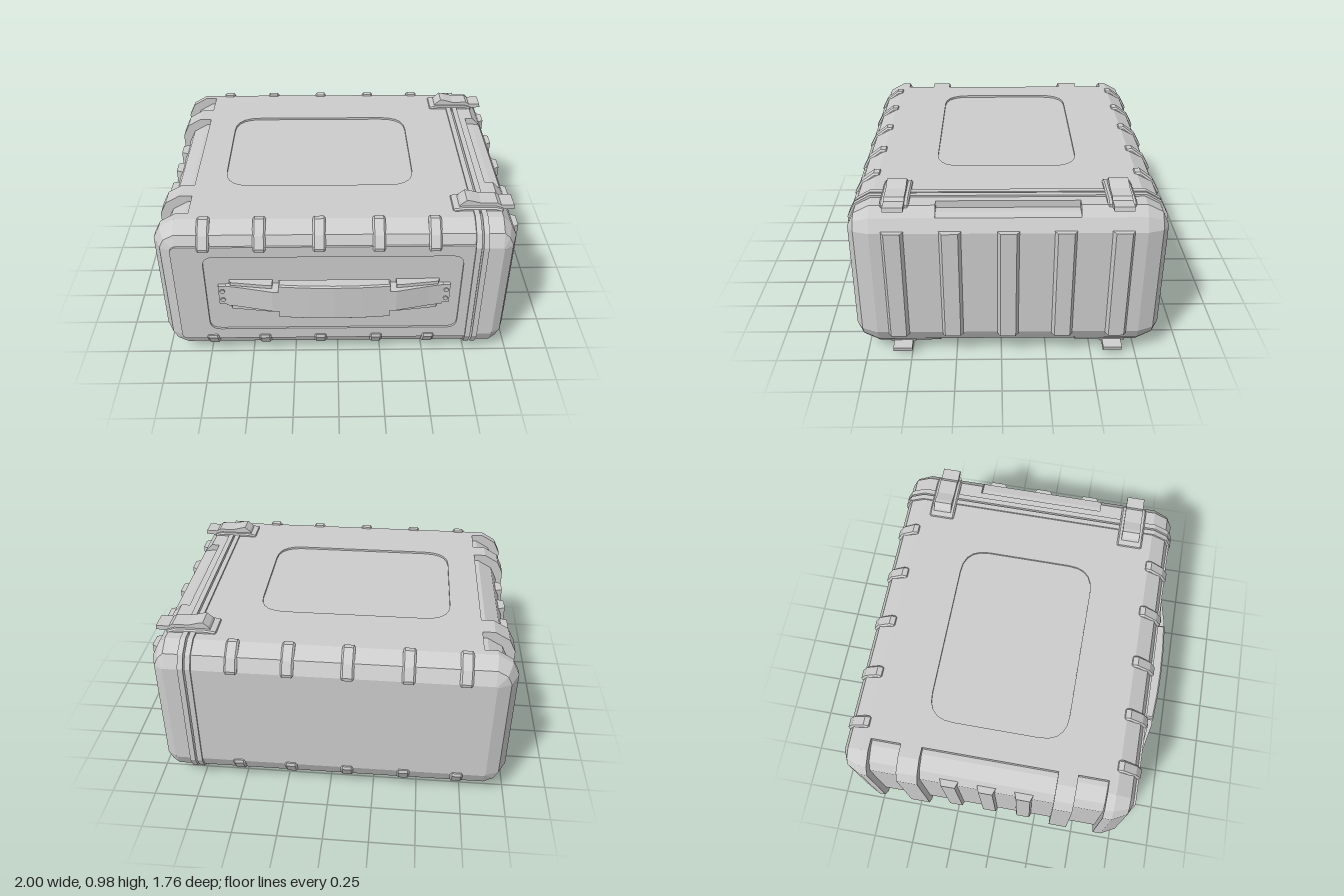
import * as THREE from 'three';

const grey = new THREE.MeshStandardMaterial({ color: 0xcccccc });
grey.name = 'grey shell';
const MID_Y = 0.495, MID_Z = -0.035;

export function createModel() {
  const root = new THREE.Group();
  root.name = 'hardCase';
  const caseGroup = new THREE.Group(); // built around y = 0
  caseGroup.name = 'case';
  caseGroup.position.y = MID_Y;
  root.add(caseGroup);

  const add = (name, geo) => {
    const m = new THREE.Mesh(geo, grey);
    m.name = name;
    caseGroup.add(m);
    return m;
  };
  const shapeOf = pts => new THREE.Shape(pts.map(p => new THREE.Vector2(p[0], p[1])));
  const mirrorY = half => half.concat(half.map(([x, y]) => [x, -y]).reverse());

  // Extrusion centred on its depth, with an optional small bevel kept inside the depth
  const extrude = (shape, depth, bevel = 0) => {
    const g = new THREE.ExtrudeGeometry(shape, {
      depth: depth - 2 * bevel, bevelEnabled: bevel > 0, bevelThickness: bevel,
      bevelSize: bevel, bevelOffset: -bevel, bevelSegments: 1, curveSegments: 5,
    });
    return g.translate(0, 0, -depth / 2 + bevel);
  };
  const alongX = (shape, depth, bevel) => extrude(shape, depth, bevel).rotateY(-Math.PI / 2); // shape in (z, y)
  const alongY = (shape, depth, bevel) => extrude(shape, depth, bevel).rotateX(Math.PI / 2);  // shape in (x, z)

  const roundRect = (x0, x1, y0, y1, r, path = new THREE.Path()) => {
    path.moveTo(x0 + r, y0).lineTo(x1 - r, y0).quadraticCurveTo(x1, y0, x1, y0 + r)
      .lineTo(x1, y1 - r).quadraticCurveTo(x1, y1, x1 - r, y1)
      .lineTo(x0 + r, y1).quadraticCurveTo(x0, y1, x0, y1 - r)
      .lineTo(x0, y0 + r).quadraticCurveTo(x0, y0, x0 + r, y0);
    return path;
  };
  const box = (name, x0, x1, y0, y1, z0, z1) => add(name,
    new THREE.BoxGeometry(x1 - x0, y1 - y0, z1 - z0).translate((x0 + x1) / 2, (y0 + y1) / 2, (z0 + z1) / 2));

  // Faceted solid from counter-clockwise xy sections placed along z
  const loft = stations => {
    const v = [];
    const put = (z, ...ps) => ps.forEach(p => v.push(p[0], p[1], z));
    for (let k = 0; k + 1 < stations.length; k++) {
      const [z0, A] = stations[k], [z1, B] = stations[k + 1];
      A.forEach((a, i) => {
        const j = (i + 1) % A.length;
        v.push(...a, z0, ...A[j], z0, ...B[j], z1, ...a, z0, ...B[j], z1, ...B[i], z1);
      });
    }
    [[stations[0], true], [stations[stations.length - 1], false]].forEach(([[z, P], flip]) => {
      const c = P.map(p => new THREE.Vector2(p[0], p[1]));
      THREE.ShapeUtils.triangulateShape(c, []).forEach(([a, b, d]) =>
        flip ? put(z, P[a], P[d], P[b]) : put(z, P[a], P[b], P[d]));
    });
    const g = new THREE.BufferGeometry();
    g.setAttribute('position', new THREE.Float32BufferAttribute(v, 3));
    g.computeVertexNormals();
    return g;
  };

  // Main body: d = inset, n = end channel depth, s = seat for the top and bottom plates
  const bodySection = (d, n = 0, s = 0) => {
    const H = 0.435 - d, L = -1 + d, c = 0.12 * (1 - d / 0.13);
    return mirrorY([[0.74, H - s], [-0.81, H - s], [-0.81, H - n],
      [L + n + c, H - n], [L + n + 0.3 * c, H - n - 0.4 * c], [L + n, H - n - c]]);
  };
  const SEAT = 0.012, CH = 0.04;
  const body = [[-0.87, bodySection(0.12)], [-0.835, bodySection(0.045)],
    [-0.75, bodySection(0)], [-0.75, bodySection(0, 0, SEAT)]];
  [[-0.71, -0.54], [-0.42, 0.35], [0.46, 0.63]].forEach(([a, b]) => body.push(
    [a, bodySection(0, 0, SEAT)], [a, bodySection(0, CH, SEAT)],
    [b, bodySection(0, CH, SEAT)], [b, bodySection(0, 0, SEAT)]));
  body.push([0.68, bodySection(0, 0, SEAT)], [0.68, bodySection(0)],
    [0.765, bodySection(0.045)], [0.788, bodySection(0.1)]);
  add('body', loft(body));

  // Plates with rounded openings that leave shallow recessed panels
  const front = shapeOf(bodySection(0.102));
  front.holes.push(roundRect(-0.73, 0.68, -0.26, 0.265, 0.06));
  add('frontFrame', extrude(front, 0.012).translate(0, 0, 0.794));
  for (const s of [1, -1]) {
    const plate = shapeOf([[-0.81, -0.75], [0.74, -0.75], [0.74, 0.68], [-0.81, 0.68]]);
    plate.holes.push(roundRect(-0.64, 0.44, -0.43, 0.36, 0.15));
    add(s > 0 ? 'topFrame' : 'bottomFrame', alongY(plate, SEAT).translate(0, s * (0.435 - SEAT / 2), 0));
  }

  // Low ribs in the middle channel of the closed end
  [-0.25, MID_Z, 0.18].forEach(z => add('endRib', alongY(
    shapeOf([[-0.94, z - 0.055], [-0.982, z - 0.04], [-0.982, z + 0.04], [-0.94, z + 0.055]]), 0.62)));

  // Lid, with a slot n deep along its upper and lower edges
  const lidSection = (d, n = 0) => {
    const H = 0.435 - d, R = 0.975 - 0.7 * d, c = 0.12 * (1 - d / 0.13);
    return mirrorY([[R, H - c], [R - 0.3 * c, H - 0.4 * c], [R - 0.7 * c, H - n],
      [0.845, H - n], [0.845, H], [0.79, H]]);
  };
  add('lid', loft([[-0.87, lidSection(0.12)], [-0.835, lidSection(0.045)], [-0.75, lidSection(0)],
    [-0.41, lidSection(0)], [-0.41, lidSection(0, 0.04)], [0.34, lidSection(0, 0.04)], [0.34, lidSection(0)],
    [0.68, lidSection(0)], [0.765, lidSection(0.045)], [0.8, lidSection(0.12)]]));

  // Upright ribs on the lid face
  [-0.625, -0.33, MID_Z, 0.265, 0.56].forEach(z => add('lidRib', alongY(
    shapeOf([[0.95, z - 0.06], [0.975, z - 0.057], [1, z - 0.042], [1, z + 0.042], [0.975, z + 0.057], [0.95, z + 0.06]]),
    0.65)));

  // Flanges either side of the seam, and the seal between them
  const ring = grow => {
    const y = 0.435 + grow, z = 0.835 + grow, q = [[z, y - 0.12], [z - 0.035, y - 0.05], [z - 0.12, y]];
    const half = q.concat(q.map(([a, b]) => [-a, b]).reverse());
    return shapeOf(mirrorY(half));
  };
  [['bodyFlange', 0.75, 0.03, 0.01], ['lidFlange', 0.79, 0.03, 0.01], ['seal', 0.77, 0.06, -0.025]].forEach(
    ([name, x, w, grow]) => add(name, alongX(ring(grow), w).translate(x, 0, MID_Z)));

  // Guard ribs wrapped over the four long edges
  const guard = [[0.69, 0.41], [0.705, 0.444], [0.735, 0.446], [0.81, 0.39], [0.845, 0.325], [0.842, 0.305], [0.8, 0.295]];
  for (const sy of [1, -1]) for (const sz of [1, -1]) for (const x of [-0.72, -0.42, -0.1, 0.22, 0.52]) {
    const pts = guard.map(([z, y]) => [z * sz, y * sy]);
    add('edgeGuard', alongX(shapeOf(pts), 0.07, 0.01).translate(x, 0, MID_Z));
  }

  // Latches on the top and bottom
  const latchBase = [[0.62, 0.41], [0.63, 0.445], [0.68, 0.453], [0.86, 0.453], [0.9, 0.44], [0.9, 0.41]];
  const lever = [[0.65, 0.43], [0.67, 0.465], [0.7, 0.49], [0.72, 0.488], [0.78, 0.472], [0.87, 0.472],
    [0.89, 0.458], [0.96, 0.46], [0.965, 0.436], [0.9, 0.43]];
  for (const s of [1, -1]) for (const z of [-0.62, 0.55]) {
    const flip = pts => shapeOf(pts.map(([x, y]) => [x, y * s]));
    add('latchBase', extrude(flip(latchBase), 0.15, 0.008).translate(0, 0, z));
    add('latchLever', extrude(flip(lever), 0.105).translate(0, 0, z));
  }

  // Carry handle: strap, grip and end brackets
  const HX = -0.02;
  const arc = [[0.6, 0.79], [0.6, 0.812], [0.52, 0.826], [0.34, 0.866], [0, 0.872]];
  const strap = arc.concat(arc.slice(0, -1).map(([x, z]) => [-x, z]).reverse());
  add('handleStrap', alongY(shapeOf(strap), 0.14).translate(HX, 0.005, 0));
  const grip = [[-0.305, 0.81], [0.305, 0.81], [0.305, 0.866], [0.15, 0.877], [0, 0.88], [-0.15, 0.877], [-0.305, 0.866]];
  add('handleGrip', alongY(shapeOf(grip), 0.235, 0.008).translate(HX, 0.003, 0));
  for (const s of [1, -1]) {
    const span = (a, b) => s > 0 ? [HX + a, HX + b] : [HX - b, HX - a];
    box('handleFoot', ...span(0.57, 0.64), -0.06, 0.07, 0.785, 0.808);
    for (const y of [-0.085, 0.085]) {
      const rail = shapeOf([[0.34, 0.785], [0.58, 0.785], [0.57, 0.812], [0.36, 0.84], [0.34, 0.84]].map(([x, z]) => [x * s, z]));
      add('handleRail', alongY(rail, 0.02).translate(HX, y + 0.005, 0));
    }
    for (const y of [-0.025, 0.035]) {
      add('screw', new THREE.CylinderGeometry(0.014, 0.014, 0.012, 8).rotateX(Math.PI / 2)
        .translate(HX + s * 0.618, y, 0.81));
    }
  }
  return root;
}
